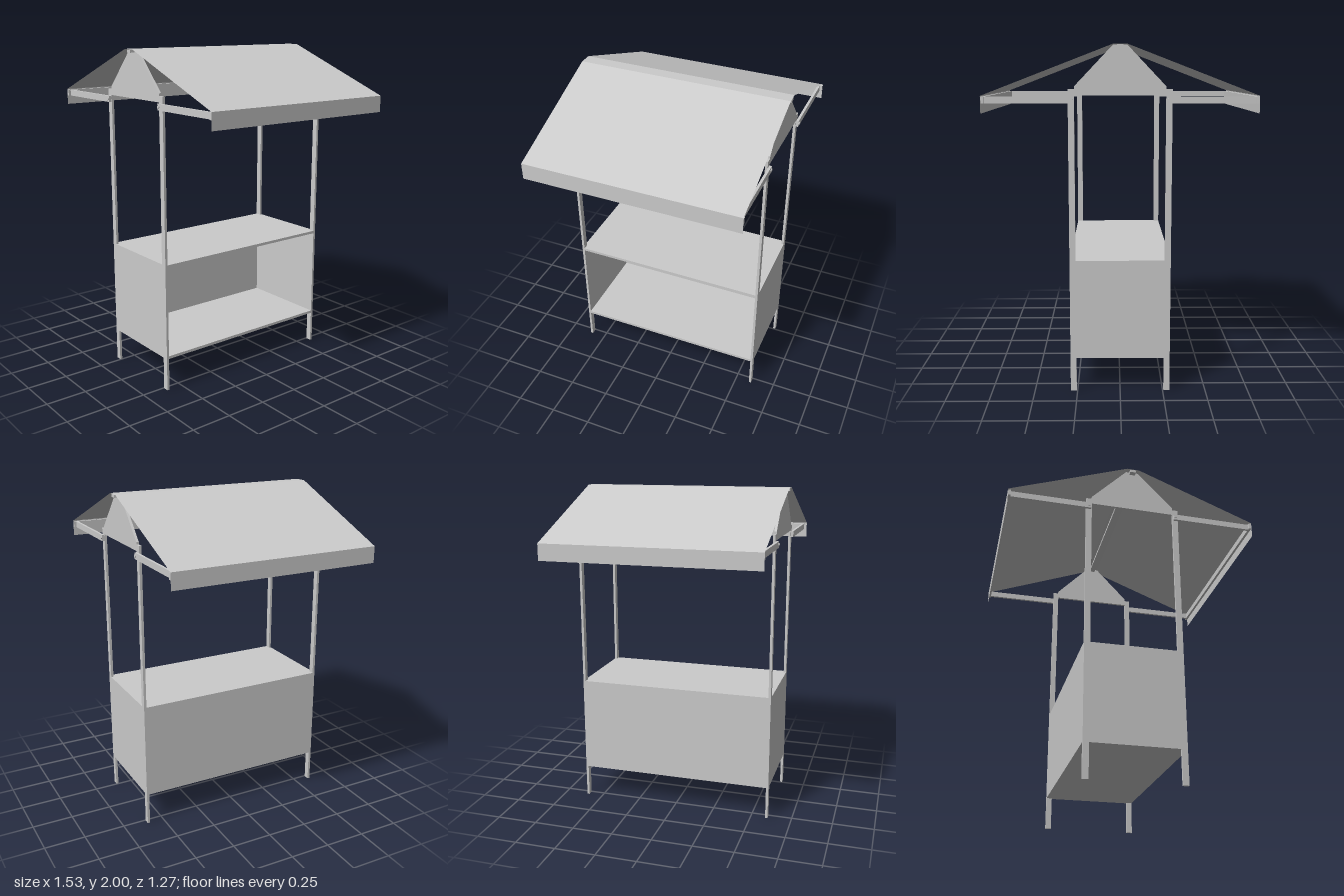
import * as THREE from 'three';

export function createModel() {
  const stall = new THREE.Group();
  stall.name = 'marketStall';
  const grey = new THREE.MeshStandardMaterial({ color: 0xcccccc, flatShading: true });
  const cloth = new THREE.MeshStandardMaterial({ color: 0xcccccc, flatShading: true, side: THREE.DoubleSide });

  const add = (name, geometry, material = grey, parent = stall) => {
    const mesh = new THREE.Mesh(geometry, material);
    mesh.name = name;
    parent.add(mesh);
    return mesh;
  };
  // Box given by its extents along each axis
  const box = (name, x0, x1, y0, y1, z0, z1, parent) => {
    const mesh = add(name, new THREE.BoxGeometry(x1 - x0, y1 - y0, z1 - z0), grey, parent);
    mesh.position.set((x0 + x1) / 2, (y0 + y1) / 2, (z0 + z1) / 2);
    return mesh;
  };
  const plate = (points, depth) => new THREE.ExtrudeGeometry(
    new THREE.Shape(points.map(([x, y]) => new THREE.Vector2(x, y))),
    { depth, bevelEnabled: false });

  const outer = 0.29, inner = 0.255;      // post faces in x
  const endZ = 0.59, thick = 0.015;       // end frame position and thickness
  const low = 0.2, high = 0.785;          // counter body
  const eaveX = 0.767, eaveY = 1.72, roofZ = 0.635;

  // Half outline of the end frame: leg, panel and post in one plate
  const halfFrame = [[inner, low], [inner, 0], [outer, 0], [outer, 1.755], [inner, 1.755], [inner, high]];
  const mirror = pts => pts.map(([x, y]) => [-x, y]).reverse();
  const frame = [...halfFrame, ...mirror(halfFrame)];
  const halfGable = [[inner, 1.72], [inner, 1.77], [0.038, 1.997]];
  const gable = [...halfGable, ...mirror(halfGable)];

  for (const s of [1, -1]) {
    const end = new THREE.Group();
    end.name = s > 0 ? 'frontEnd' : 'backEnd';
    stall.add(end);
    const z0 = s > 0 ? endZ : -endZ - thick;
    add('endFrame', plate(frame, thick), grey, end).position.z = z0;
    add('gablePanel', plate(gable, thick), grey, end).position.z = z0;

    // Awning arms bolted to the outside of the posts
    const near = s * (endZ + thick), far = s * (endZ + 2 * thick);
    for (const side of [1, -1]) {
      const xa = side * 0.26, xb = side * 0.75;
      box('awningArm', Math.min(xa, xb), Math.max(xa, xb), 1.678, 1.715,
        Math.min(near, far), Math.max(near, far), end);
      const bolt = add('armBolt', new THREE.CylinderGeometry(0.009, 0.009, 0.006, 12), grey, end);
      bolt.rotation.x = Math.PI / 2;
      bolt.position.set(side * 0.272, 1.697, far + s * 0.002);
    }
  }

  // Counter: top, bottom shelf and closed side; the +x side is open
  box('counterTop', -outer, outer, high - 0.017, high, -endZ, endZ);
  box('bottomShelf', -outer, outer, low, low + 0.017, -endZ, endZ);
  box('sidePanel', -outer, -outer + 0.012, low + 0.017, high - 0.017, -endZ, endZ);

  // Bars carrying the roof
  box('ridgeBar', -0.018, 0.018, 1.98, 1.997, -roofZ, roofZ);
  box('eaveBar', 0.75, eaveX - 0.002, 1.678, 1.715, -roofZ, roofZ);
  box('eaveBar', -eaveX + 0.002, -0.75, 1.678, 1.715, -roofZ, roofZ);

  // Roof sheet with hanging valances, swept along z
  const profile = [[-eaveX, 1.623], [-eaveX, eaveY], [-0.038, 2], [0.038, 2], [eaveX, eaveY], [eaveX, 1.623]];
  const names = ['rightValance', 'rightRoofSlope', 'ridgeStrip', 'leftRoofSlope', 'leftValance'];
  names.forEach((name, i) => {
    const [ax, ay] = profile[i], [bx, by] = profile[i + 1];
    const sheet = add(name, new THREE.PlaneGeometry(Math.hypot(bx - ax, by - ay), 2 * roofZ).rotateX(-Math.PI / 2), cloth);
    sheet.rotation.z = Math.atan2(by - ay, bx - ax);
    sheet.position.set((ax + bx) / 2, (ay + by) / 2, 0);
  });

  return stall;
}
